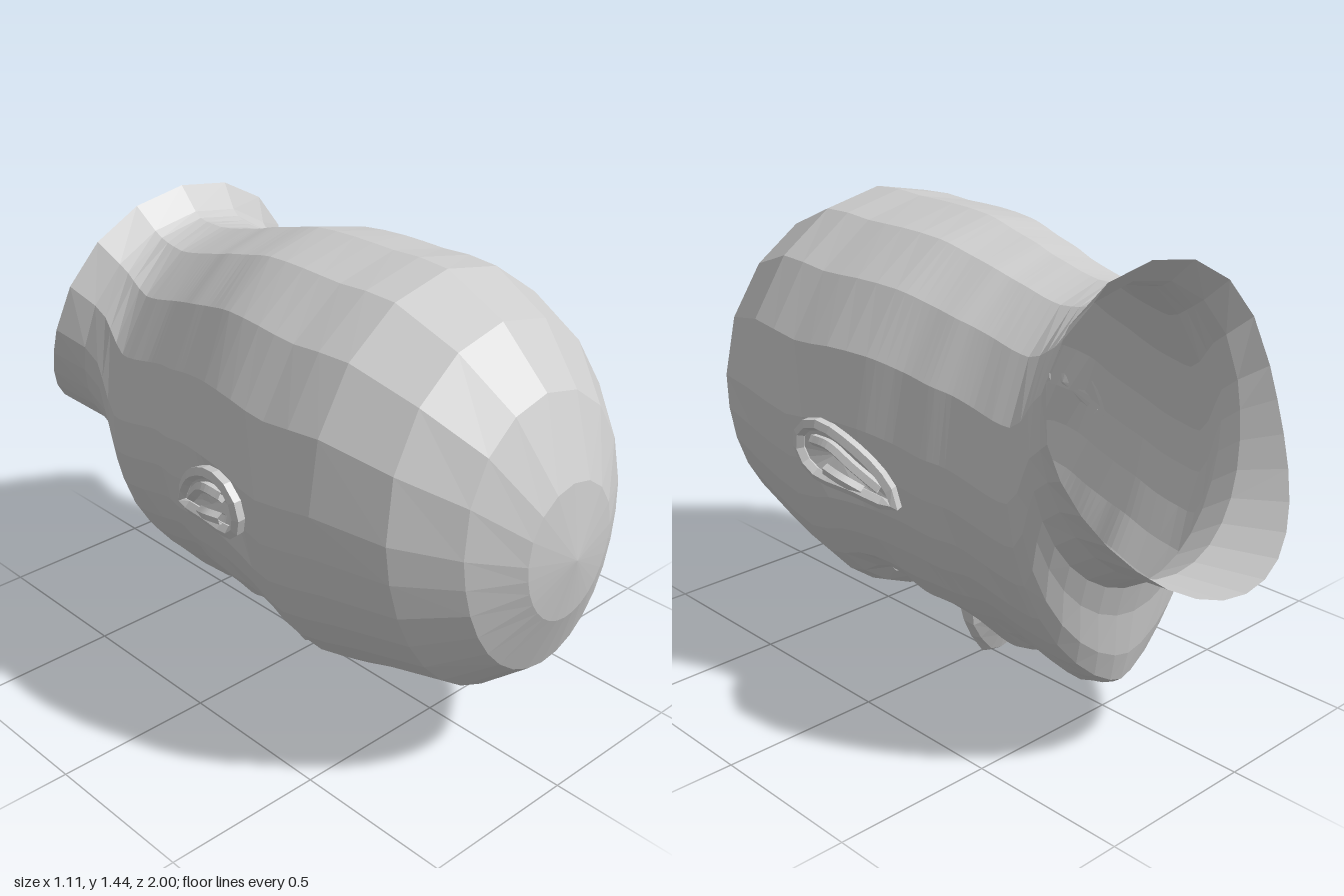
import * as THREE from 'three';

const material = new THREE.MeshStandardMaterial({ color: 0xcccccc, flatShading: true, side: THREE.DoubleSide });
const V = (x, y, z) => new THREE.Vector3(x, y, z);

// Skin a list of rows (arrays of points with equal length)
function loft(rows) {
  const n = rows[0].length, index = [];
  for (let i = 0; i < rows.length - 1; i++)
    for (let j = 0; j < n - 1; j++) {
      const a = i * n + j, b = a + n;
      index.push(a, b, a + 1, b, b + 1, a + 1);
    }
  const g = new THREE.BufferGeometry().setFromPoints(rows.flat());
  g.setIndex(index);
  g.computeVertexNormals();
  return g;
}

function part(name, geometry, parent) {
  const mesh = new THREE.Mesh(geometry, material);
  mesh.name = name;
  parent.add(mesh);
  return mesh;
}

function tube(points, radius, closed = false) {
  const curve = new THREE.CatmullRomCurve3(points.map(p => V(...p)), closed);
  return new THREE.TubeGeometry(curve, 18, radius, 5, closed);
}

// Slices from crown to neck rim: top z, top y, face z, face y, half width, face taper, bulge
const slices = [
  [1, 0.75, 1, 0.75, 0, 1, 0],
  [0.97, 0.97, 0.975, 0.56, 0.17, 1, 0],
  [0.86, 1.19, 0.91, 0.38, 0.32, 1, 0],
  [0.7, 1.34, 0.77, 0.265, 0.45, 1, 0],
  [0.5, 1.43, 0.54, 0.215, 0.52, 1, 0],
  [0.3, 1.43, 0.33, 0.15, 0.53, 1, 0],
  [0.15, 1.43, 0.2, 0.19, 0.52, 1, 0],
  [0, 1.42, 0.07, 0.2, 0.49, 1, 0],
  [-0.12, 1.39, -0.05, 0.19, 0.455, 1, 0],
  [-0.2, 1.37, -0.17, 0.17, 0.44, 1.1, 0],
  [-0.26, 1.35, -0.28, 0.17, 0.42, 1.25, 0],
  [-0.32, 1.335, -0.4, 0.14, 0.41, 1.3, 0],
  [-0.38, 1.32, -0.5, 0.125, 0.41, 1.35, 0],
  [-0.44, 1.31, -0.57, 0.13, 0.405, 1.35, 0],
  [-0.48, 1.31, -0.595, 0.22, 0.4, 1.2, 0],
  [-0.51, 1.31, -0.61, 0.36, 0.4, 1.05, 0],
  [-0.54, 1.315, -0.64, 0.46, 0.4, 1, 0.01],
  [-0.565, 1.33, -0.76, 0.53, 0.41, 1, 0.03],
  [-0.63, 1.4, -1, 0.555, 0.46, 1, 0.1],
];

// Face relief: x, z, spread x, spread z, height (negative stands out), power of the falloff along z
const relief = [
  [0.18, 0.14, 0.1, 0.075, 0.09, 2], // eye sockets
  [0.15, 0.28, 0.1, 0.05, -0.01, 2], // brows
  [0.27, -0.02, 0.09, 0.09, -0.02, 2], // cheeks
  [0, -0.175, 0.13, 0.085, -0.1, 4], // upper lip
  [0, -0.37, 0.14, 0.11, -0.07, 4], // lower lip and chin
  [0, -0.51, 0.15, 0.06, -0.03, 2], // chin tip
];

// Angles round a slice: fine over the face, coarse over the skull
const half = [0, 1, 2, 3, 4, 5, 6, 7, 8, 10, 12, 14, 16].map(k => (k / 16) * Math.PI);
const angles = [...half, ...half.slice(0, -1).reverse().map(a => 2 * Math.PI - a)];

function catmull(a, b, c, d, t) {
  return 0.5 * (2 * b + (c - a) * t + (2 * a - 5 * b + 4 * c - d) * t * t + (3 * b - a - 3 * c + d) * t ** 3);
}

function headRow([zt, yt, zb, yb, w, taper, bulge]) {
  const mid = yb + (yt - yb) * 0.55;
  return angles.map(a => {
    const c = Math.cos(a), s = Math.sin(a);
    let y = mid - c * (c > 0 ? mid - yb : yt - mid);
    let x = w * Math.sign(s) * Math.abs(s) ** (c > 0 ? taper : 1);
    const f = yt > yb ? (y - yb) / (yt - yb) : 0;
    const z = zb + (zt - zb) * f + bulge * Math.sin(Math.PI * f);
    if (c > 0.2)
      for (const [x0, z0, sx, sz, h, power] of relief)
        y += h * Math.exp(-(((Math.abs(x) - x0) / sx) ** 2) - Math.abs((z - z0) / sz) ** power);
    // Hollow beneath the ears
    x *= 1 - 0.07 * Math.exp(-(((y - 0.77) / 0.08) ** 2) - ((z - 0.14) / 0.09) ** 2);
    return V(x, y, z);
  });
}

function headGeometry() {
  const rows = [], last = slices.length - 1;
  for (let i = 0; i < last; i++) {
    const [p, q, r, s] = [-1, 0, 1, 2].map(k => slices[Math.min(last, Math.max(0, i + k))]);
    const steps = i < 4 || i > 12 ? 1 : i > 6 && i < 11 ? 4 : 2;
    for (let k = 0; k < steps; k++) rows.push(headRow(q.map((v, m) => catmull(p[m], v, r[m], s[m], k / steps))));
  }
  rows.push(headRow(slices[last]));
  return loft(rows);
}

function noseGeometry() {
  // z, ridge y, half width, base y
  const cuts = [
    [0.24, 0.2, 0.035, 0.27], [0.15, 0.145, 0.05, 0.28], [0.07, 0.07, 0.075, 0.27], [0.02, 0.015, 0.105, 0.25],
    [-0.02, 0, 0.13, 0.23], [-0.06, 0.025, 0.125, 0.21], [-0.08, 0.08, 0.09, 0.2], [-0.09, 0.14, 0.05, 0.2],
  ];
  const shape = [[-1, 1], [-0.95, 0.65], [-0.7, 0.35], [-0.33, 0.05], [0, 0], [0.33, 0.05], [0.7, 0.35], [0.95, 0.65], [1, 1]];
  return loft(cuts.map(([z, tip, w, base]) => shape.map(([u, v]) => V(u * w, tip + (base - tip) * v, z))));
}

function buildEar() {
  const ear = new THREE.Group();
  const rim = [
    [0.455, 0.665, -0.095], [0.47, 0.745, -0.055], [0.505, 0.825, 0.04], [0.53, 0.865, 0.15], [0.535, 0.835, 0.225],
    [0.53, 0.76, 0.245], [0.515, 0.7, 0.2], [0.49, 0.68, 0.06],
  ];
  part('earRim', tube(rim, 0.02, true), ear);
  part('earFold', tube([[0.465, 0.7, -0.04], [0.505, 0.76, 0.03], [0.53, 0.81, 0.1], [0.53, 0.81, 0.18]], 0.018), ear);
  part('earFlap', tube([[0.48, 0.68, 0.02], [0.51, 0.71, 0.09], [0.51, 0.72, 0.15]], 0.018), ear);
  // Bowl inside the rim
  const edge = new THREE.CatmullRomCurve3(rim.map(p => V(...p)), true).getPoints(18);
  const centre = V(0.475, 0.76, 0.14);
  part('earBowl', loft([0, 0.5, 1].map(t => edge.map(p => p.clone().lerp(centre, t)))), ear);
  return ear;
}

function buildEye() {
  const eye = new THREE.Group();
  part('eyeball', new THREE.SphereGeometry(0.06, 10, 4, 0, Math.PI * 2, Math.PI / 2, Math.PI / 2), eye);
  const lid = part('eyelids', new THREE.TorusGeometry(0.055, 0.014, 5, 14), eye);
  lid.rotation.x = Math.PI / 2;
  lid.scale.set(1.25, 0.7, 1);
  lid.position.y = -0.035;
  eye.position.set(0.18, 0.35, 0.14);
  return eye;
}

export function createModel() {
  const model = new THREE.Group();
  model.name = 'head';
  part('headAndNeck', headGeometry(), model);
  part('nose', noseGeometry(), model);
  // Ears and eyes on both sides
  for (const [label, side] of [['left', 1], ['right', -1]]) {
    for (const [name, build] of [['Ear', buildEar], ['Eye', buildEye]]) {
      const holder = new THREE.Group();
      holder.name = label + name;
      holder.scale.x = side;
      holder.add(build());
      model.add(holder);
    }
  }
  return model;
}
